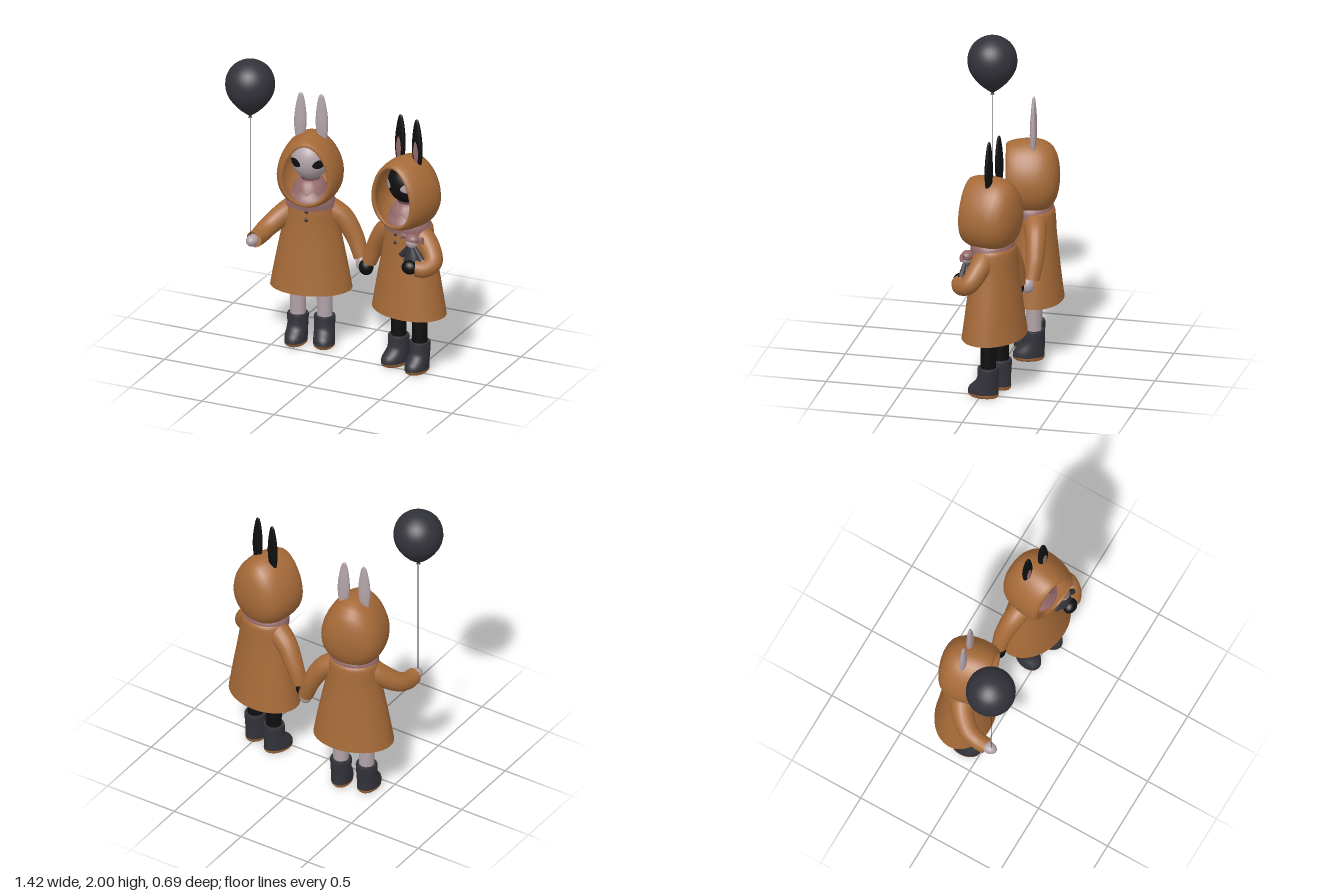
import * as THREE from 'three';

const mat = (name, color, side = THREE.FrontSide) => {
  const m = new THREE.MeshStandardMaterial({ color, side });
  m.name = name;
  return m;
};
const M = {
  coat: mat('ochre cloth', 0xa66a38, THREE.DoubleSide),
  pale: mat('pale grey', 0xb2a3a8),
  black: mat('black', 0x0f0f10),
  dark: mat('dark slate', 0x32323a),
  pink: mat('dusty pink', 0x94696a, THREE.DoubleSide),
};

const mesh = (name, geo, material, parent, pos = [0, 0, 0]) => {
  const m = new THREE.Mesh(geo, material);
  m.name = name;
  m.position.set(...pos);
  parent.add(m);
  return m;
};

// Skin closed rings of points; a repeated ring gives a sharp edge
function loft(rings) {
  const n = rings[0].length, idx = [];
  for (let i = 0; i < rings.length - 1; i++)
    for (let j = 0; j < n; j++) {
      const k = (j + 1) % n, a = i * n + j, b = a + n, c = (i + 1) * n + k, d = i * n + k;
      idx.push(a, b, c, a, c, d);
    }
  const g = new THREE.BufferGeometry();
  g.setAttribute('position', new THREE.Float32BufferAttribute(rings.flat(2), 3));
  g.setIndex(idx);
  g.computeVertexNormals();
  return g;
}
const angles = (n) => Array.from({ length: n }, (_, j) => (j / n) * Math.PI * 2);

// Horizontal ellipse at height y
const ring = (y, rx, rz, z = 0, n = 36) =>
  angles(n).map((a) => [rx * Math.cos(a), y, z + rz * Math.sin(a)]);

// Upright form from [y, rx, rz] rows, smoothed by a spline
function turned(rows, steps = 28) {
  const c = new THREE.CatmullRomCurve3(rows.map((r) => new THREE.Vector3(...r)));
  return loft(Array.from({ length: steps + 1 }, (_, i) => {
    const p = c.getPoint(i / steps);
    return ring(p.x, Math.max(p.y, 0), Math.max(p.z, 0));
  }));
}

const ball = (name, material, parent, pos, scale) => {
  const m = mesh(name, new THREE.SphereGeometry(1, 28, 20), material, parent, pos);
  m.scale.set(...scale);
  return m;
};

// Sleeve that tapers along a curve
function sleeve(name, parent, pts, r0, r1) {
  const n = 28, sides = 18;
  const curve = new THREE.CatmullRomCurve3(pts.map((p) => new THREE.Vector3(...p)));
  const g = new THREE.TubeGeometry(curve, n, 1, sides), p = g.attributes.position;
  const v = new THREE.Vector3();
  for (let i = 0; i <= n; i++) {
    const c = curve.getPointAt(i / n), r = THREE.MathUtils.lerp(r0, r1, i / n);
    for (let j = 0; j <= sides; j++) {
      const k = i * (sides + 1) + j;
      v.fromBufferAttribute(p, k).sub(c).multiplyScalar(r).add(c);
      p.setXYZ(k, v.x, v.y, v.z);
    }
  }
  mesh(name, g, M.coat, parent);
}

// Egg-shaped hood: lining, rolled rim, then outer shell, as [width, height, z]
function hoodGeometry() {
  const rows = [
    [0, 0, -0.135], [0.55, 0.55, -0.125], [0.8, 0.82, -0.07], [0.9, 0.92, 0], [0.86, 0.91, 0.07],
    [0.74, 0.85, 0.125], [0.69, 0.81, 0.145], [0.69, 0.81, 0.155], [0.74, 0.84, 0.162],
    [0.82, 0.88, 0.155], [0.9, 0.93, 0.13], [0.96, 0.97, 0.09], [0.99, 0.99, 0.05], [1, 1, 0.005],
    [0.99, 0.99, -0.035], [0.95, 0.95, -0.075], [0.87, 0.87, -0.11], [0.75, 0.75, -0.138],
    [0.58, 0.58, -0.158], [0.38, 0.38, -0.17], [0.18, 0.18, -0.176], [0, 0, -0.178],
  ];
  return loft(rows.map(([sx, sy, z]) => angles(48).map((a) => [
    0.204 * sx * Math.cos(a) * (1 - 0.15 * Math.sin(a)), 1.2 + 0.24 * sy * Math.sin(a), z,
  ])));
}

const HEAD = [0.122, 0.136, 0.122];

// Almond eye laid onto the head surface
function eyeGeometry(side) {
  const g = new THREE.RingGeometry(0, 1, 28, 6), p = g.attributes.position;
  for (let i = 0; i < p.count; i++) {
    const u = p.getX(i) * 0.037, w = p.getY(i) * 0.028 * (1 - 0.3 * p.getX(i) ** 2);
    const t = 0.28 * side;
    const x = 0.074 * side + u * Math.cos(t) - w * Math.sin(t);
    const y = -0.002 + u * Math.sin(t) + w * Math.cos(t);
    const z = HEAD[2] * Math.sqrt(Math.max(0.02, 1 - (x / HEAD[0]) ** 2 - (y / HEAD[1]) ** 2));
    p.setXYZ(i, x * 1.025, y * 1.025, z * 1.025);
  }
  g.computeVertexNormals();
  return g;
}

function boot(parent, x, yaw) {
  const b = new THREE.Group();
  b.name = 'boot';
  b.position.x = x;
  b.rotation.y = yaw;
  parent.add(b);
  // rows of [y, half width, front z, back z]
  const stack = (rows) => loft(rows.map(([y, w, f, k]) => ring(y, w, (f - k) / 2, (f + k) / 2, 28)));
  mesh('sole', stack([
    [0, 0, 0.03, 0.03], [0, 0.058, 0.115, -0.058], [0, 0.058, 0.115, -0.058],
    [0.01, 0.068, 0.13, -0.066], [0.024, 0.069, 0.134, -0.067],
  ]), M.coat, b);
  mesh('bootUpper', stack([
    [0.022, 0.068, 0.133, -0.066], [0.045, 0.069, 0.132, -0.066], [0.065, 0.068, 0.122, -0.066],
    [0.085, 0.067, 0.1, -0.065], [0.105, 0.066, 0.08, -0.065], [0.13, 0.066, 0.069, -0.066],
    [0.185, 0.069, 0.068, -0.068], [0.196, 0.066, 0.065, -0.065], [0.196, 0.066, 0.065, -0.065],
    [0.196, 0, 0, 0],
  ]), M.dark, b);
}

function figure(name, skin, eyes, innerEar, x, z, yaw) {
  const f = new THREE.Group();
  f.name = name;
  f.position.set(x, 0, z);
  f.rotation.y = yaw;

  mesh('coat', turned([
    [0.39, 0.262, 0.19], [0.5, 0.243, 0.176], [0.62, 0.22, 0.163], [0.74, 0.196, 0.15],
    [0.85, 0.176, 0.14], [0.93, 0.167, 0.136], [0.98, 0.155, 0.128], [1.0, 0.125, 0.1],
  ]), M.coat, f);
  mesh('hood', hoodGeometry(), M.coat, f, [0, 0, 0.015]);
  for (const y of [0.94, 0.886]) ball('button', M.dark, f, [0, y, y > 0.9 ? 0.136 : 0.139], [0.012, 0.012, 0.006]);

  // shirt and scalloped collar
  mesh('shirt', turned([[0.95, 0.16, 0.13], [1.0, 0.15, 0.135], [1.05, 0.11, 0.105], [1.12, 0.07, 0.07]], 10), M.pink, f, [0, 0, 0.015]);
  mesh('collar', loft([[1.13, 0.06, 0], [1.115, 0.085, 0.003], [1.085, 0.104, 0.008], [1.06, 0.112, 0.012]]
    .reverse().map(([y, r, w]) => angles(64).map((a) => {
      const s = Math.sin(a * 9);
      return [(r + w * s * 0.4) * Math.cos(a), y - w * s, 0.02 + (r + w * s * 0.4) * Math.sin(a)];
    }))), M.pink, f);

  // head
  ball('head', skin, f, [0, 1.265, 0.02], HEAD);
  for (const s of [-1, 1]) mesh('eye', eyeGeometry(s), eyes, f, [0, 1.265, 0.02]);

  for (const s of [-1, 1]) {
    // ears
    const ear = new THREE.Group();
    ear.name = 'ear';
    ear.position.set(0.072 * s, 1.38, 0.005);
    ear.rotation.z = 0.02 * s;
    f.add(ear);
    const leaf = turned([
      [0, 0.026, 0.016], [0.08, 0.038, 0.021], [0.14, 0.04, 0.021], [0.21, 0.034, 0.018],
      [0.28, 0.022, 0.012], [0.31, 0.012, 0.007], [0.321, 0, 0],
    ], 20);
    mesh('earShell', leaf, skin, ear);
    if (innerEar) mesh('innerEar', leaf, innerEar, ear, [0, 0.03, 0.007]).scale.set(0.64, 0.58, 0.85);

    // legs
    mesh('leg', new THREE.CylinderGeometry(0.051, 0.049, 0.45, 24), skin, f, [0.086 * s, 0.4, 0]);
    boot(f, 0.086 * s, 0.14 * s);
  }
  return f;
}

function doll() {
  const d = new THREE.Group();
  d.name = 'doll';
  d.position.set(0.525, 0, 0.085);
  d.rotation.y = -0.2;
  mesh('dollDress', turned([[0.79, 0.062, 0.045], [0.83, 0.05, 0.036], [0.87, 0.03, 0.025], [0.9, 0.016, 0.016]], 10), M.dark, d);
  ball('dollHead', M.pale, d, [0, 0.92, 0.004], [0.04, 0.038, 0.034]);
  ball('dollCap', M.pink, d, [0, 0.938, -0.002], [0.045, 0.034, 0.038]);
  for (const s of [-1, 1]) {
    const bow = mesh('dollBow', new THREE.ConeGeometry(0.026, 0.055, 12), M.pink, d, [0.056 * s, 0.945, 0]);
    bow.rotation.z = s * Math.PI / 2;
    bow.scale.z = 0.5;
    bow.rotation.z = s * 1.7;
    const arm = mesh('dollArm', new THREE.CylinderGeometry(0.012, 0.02, 0.1, 12), M.dark, d, [0.05 * s, 0.855, 0.005]);
    arm.rotation.z = 0.65 * s;
    ball('dollHand', M.pale, d, [0.08 * s, 0.815, 0.006], [0.011, 0.011, 0.011]);
  }
  return d;
}

export function createModel() {
  const root = new THREE.Group();
  root.name = 'pairOfHoodedRabbits';
  root.add(figure('paleRabbit', M.pale, M.black, null, -0.29, -0.15, 0.21));
  root.add(figure('blackRabbit', M.black, M.pale, M.pink, 0.43, -0.07, -0.25));

  // pale rabbit's arms
  sleeve('balloonSleeve', root, [[-0.36, 0.94, -0.13], [-0.44, 0.88, -0.09], [-0.52, 0.8, 0], [-0.54, 0.768, 0.08], [-0.545, 0.765, 0.15]], 0.078, 0.053);
  ball('balloonHand', M.pale, root, [-0.547, 0.768, 0.17], [0.038, 0.038, 0.05]);
  sleeve('paleInnerSleeve', root, [[-0.21, 0.94, -0.17], [-0.1, 0.87, -0.205], [-0.02, 0.74, -0.22], [0.028, 0.615, -0.212]], 0.078, 0.048);
  ball('paleInnerHand', M.pale, root, [0.045, 0.585, -0.19], [0.04, 0.052, 0.04]);

  // black rabbit's arms
  sleeve('blackInnerSleeve', root, [[0.35, 0.94, -0.085], [0.24, 0.87, -0.115], [0.16, 0.74, -0.14], [0.117, 0.625, -0.145]], 0.078, 0.048);
  ball('blackInnerHand', M.black, root, [0.098, 0.587, -0.135], [0.047, 0.053, 0.042]);
  sleeve('dollSleeve', root, [[0.5, 0.945, -0.035], [0.59, 0.88, -0.01], [0.648, 0.79, 0.045], [0.615, 0.76, 0.1], [0.56, 0.765, 0.125]], 0.076, 0.052);
  ball('dollHoldingHand', M.black, root, [0.528, 0.767, 0.132], [0.052, 0.046, 0.042]);
  root.add(doll());

  // balloon on its string
  mesh('balloon', turned([
    [1.612, 0.013], [1.622, 0.007], [1.635, 0.022], [1.67, 0.066], [1.72, 0.112], [1.78, 0.147],
    [1.84, 0.157], [1.9, 0.146], [1.95, 0.115], [1.985, 0.066], [1.997, 0.03], [2, 0],
  ].map(([y, r]) => [y, r, r]), 44), M.dark, root, [-0.555, 0, 0.185]);
  mesh('string', new THREE.CylinderGeometry(0.002, 0.002, 0.84, 6), M.dark, root, [-0.552, 1.195, 0.185]);
  return root;
}
